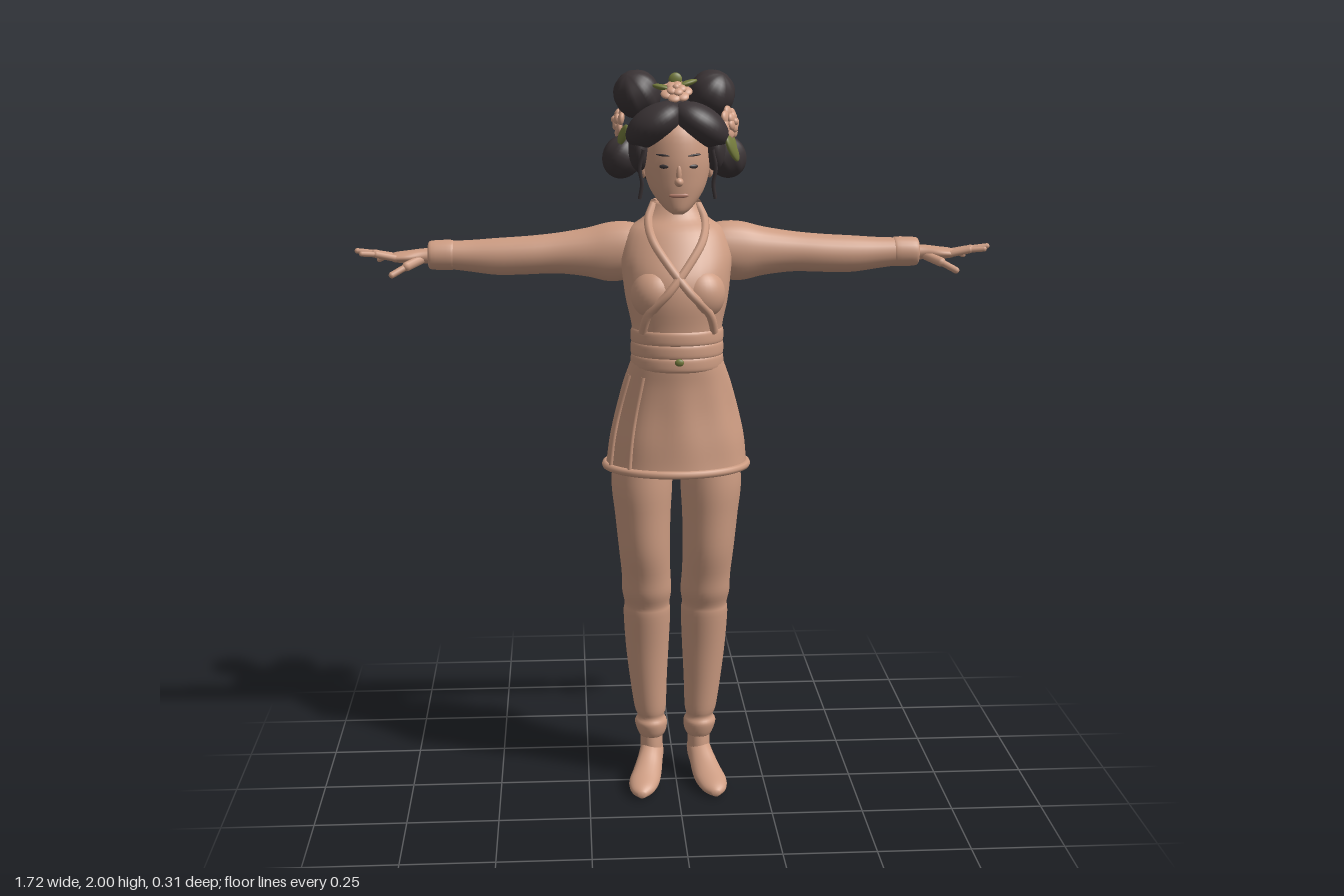
import * as THREE from 'three';

const mat = (name, color, side = THREE.FrontSide) => {
  const m = new THREE.MeshStandardMaterial({ color, side });
  m.name = name;
  return m;
};
const V = (x, y, z) => new THREE.Vector3(x, y, z);

// Smooth interpolation of section rows [t, c1, c2, r1, r2]
function refine(secs, steps = 4) {
  const out = [];
  for (let i = 0; i < secs.length - 1; i++) {
    const p = [secs[Math.max(i - 1, 0)], secs[i], secs[i + 1], secs[Math.min(i + 2, secs.length - 1)]];
    for (let k = 0; k < steps; k++) {
      const u = k / steps;
      out.push(secs[0].map((_, c) => {
        const [a, b, d, e] = p.map(r => r[c]);
        return b + 0.5 * u * (d - a + u * (2 * a - 5 * b + 4 * d - e + u * (3 * (b - d) + e - a)));
      }));
    }
  }
  out.push(secs[secs.length - 1]);
  return out;
}

// Elliptical rings stacked along y; rule(t, angle) can swell the radius
function loft(secs, { seg = 32, open = false, rule = () => 1 } = {}) {
  const rows = refine(secs), pos = [], idx = [], n = rows.length;
  for (const [t, cx, cz, rx, rz] of rows)
    for (let j = 0; j < seg; j++) {
      const a = j / seg * Math.PI * 2, k = rule(t, a);
      pos.push(cx + rx * k * Math.sin(a), t, cz + rz * k * Math.cos(a));
    }
  for (let i = 0; i < n - 1; i++)
    for (let j = 0; j < seg; j++) {
      const a = i * seg + j, b = i * seg + (j + 1) % seg;
      idx.push(a, b, b + seg, a, b + seg, a + seg);
    }
  if (!open) {
    const lo = n * seg, top = (n - 1) * seg;
    for (const r of [rows[0], rows[n - 1]]) pos.push(r[1], r[0], r[2]);
    for (let j = 0; j < seg; j++) {
      const k = (j + 1) % seg;
      idx.push(lo, k, j, lo + 1, top + j, top + k);
    }
  }
  const g = new THREE.BufferGeometry();
  g.setAttribute('position', new THREE.Float32BufferAttribute(pos, 3));
  g.setIndex(idx);
  g.computeVertexNormals();
  return g;
}

// Point lying on a loft at height y and angle a
function onLoft(secs, y, a, lift = 0) {
  let i = 0;
  while (i < secs.length - 2 && secs[i + 1][0] < y) i++;
  const u = (y - secs[i][0]) / (secs[i + 1][0] - secs[i][0]);
  const [, cx, cz, rx, rz] = secs[i].map((v, c) => v + (secs[i + 1][c] - v) * u);
  return V(cx + (rx + lift) * Math.sin(a), y, cz + (rz + lift) * Math.cos(a));
}

const tube = (pts, r, closed = false) =>
  new THREE.TubeGeometry(new THREE.CatmullRomCurve3(pts, closed), pts.length * 6, r, 8, closed);

// Ellipsoid, optionally grooved into locks around its own axis
function blob(c, r, rot = [0, 0, 0], lobes = 0) {
  const g = new THREE.SphereGeometry(1, 32, 20), p = g.attributes.position;
  if (lobes) {
    for (let i = 0; i < p.count; i++) {
      const k = 0.93 + 0.07 * Math.abs(Math.sin(Math.atan2(p.getZ(i), p.getX(i)) * lobes / 2));
      p.setXYZ(i, p.getX(i) * k, p.getY(i), p.getZ(i) * k);
    }
    g.computeVertexNormals();
  }
  return g.scale(...r).rotateX(rot[0]).rotateY(rot[1]).rotateZ(rot[2]).translate(...c);
}

function finger(a, b, r) {
  const d = b.clone().sub(a), g = new THREE.CapsuleGeometry(r, d.length(), 4, 10);
  g.applyQuaternion(new THREE.Quaternion().setFromUnitVectors(V(0, 1, 0), d.normalize()));
  const m = a.clone().add(b).multiplyScalar(0.5);
  return g.translate(m.x, m.y, m.z);
}

function mirrored(geo) {
  const g = geo.clone().scale(-1, 1, 1), ix = g.index;
  for (let i = 0; i < ix.count; i += 3) {
    const b = ix.getX(i + 1);
    ix.setX(i + 1, ix.getX(i + 2));
    ix.setX(i + 2, b);
  }
  return g;
}

export function createModel() {
  const root = new THREE.Group();
  const cloth = mat('tanCloth', 0xcd9c82, THREE.DoubleSide), skin = mat('skin', 0xcd9c82);
  const hair = mat('darkHair', 0x3a3335), petal = mat('petal', 0xd2a086), leaf = mat('leaf', 0x737a3c);
  const lips = mat('lips', 0xb67e6b), under = mat('underShorts', 0x5b5356);
  const add = (name, g, m, parent = root) => {
    const o = new THREE.Mesh(g, m);
    o.name = name;
    parent.add(o);
    return o;
  };
  const pair = (name, g, m) => {
    add(name + 'Left', g, m);
    add(name + 'Right', mirrored(g), m);
  };

  // Tunic: bodice, sash and flared skirt
  const torso = [[1.2, 0, 0.035, 0.12, 0.09], [1.25, 0, 0.04, 0.117, 0.095], [1.33, 0, 0.04, 0.122, 0.1],
    [1.4, 0, 0.033, 0.137, 0.115], [1.46, 0, 0.018, 0.145, 0.122], [1.52, 0, 0, 0.15, 0.11],
    [1.58, 0, -0.018, 0.13, 0.092], [1.615, 0, -0.028, 0.085, 0.066], [1.655, 0, -0.03, 0.053, 0.048]];
  add('bodice', loft(torso), cloth);
  pair('bust', blob([0.06, 1.42, 0.085], [0.066, 0.07, 0.062]), cloth);
  const skirt = [[0.93, 0, 0, 0.195, 0.147], [0.96, 0, 0, 0.191, 0.144], [1.02, 0, 0.003, 0.183, 0.138],
    [1.1, 0, 0.005, 0.165, 0.13], [1.17, 0, 0.02, 0.147, 0.114], [1.22, 0, 0.036, 0.13, 0.102], [1.25, 0, 0.04, 0.12, 0.098]];
  const folds = (y, a) => 1 + 0.018 * Math.sin(9 * a + 1) * Math.max(0, Math.min(1, (1.22 - y) * 8)) * Math.min(1, (y - 0.92) * 8);
  add('skirt', loft(skirt, { seg: 64, open: true, rule: folds }), cloth);
  const hem = Array.from({ length: 24 }, (_, i) => onLoft(skirt, 0.938, i / 12 * Math.PI));
  add('skirtHem', tube(hem, 0.011, true), cloth);
  for (const a of [-1.2, -0.75])
    add('skirtFlapEdge', tube([1.2, 1.1, 1.02, 0.94].map(y => onLoft(skirt, y, a, 0.001)), 0.006), cloth);
  [1.235, 1.27, 1.305].forEach(y => add('sashFold', loft([[y - 0.021, 0, 0.039, 0.12, 0.098],
    [y - 0.012, 0, 0.039, 0.125, 0.104], [y + 0.012, 0, 0.039, 0.125, 0.104], [y + 0.021, 0, 0.039, 0.121, 0.099]]), cloth));
  add('sashOrnament', blob([0, 1.245, 0.143], [0.012, 0.01, 0.006]), leaf);

  // Crossed lapels and standing collar
  for (const s of [1, -1])
    add('lapel', tube([[1.645, 1.4], [1.61, 0.95], [1.56, 0.5], [1.5, 0.18], [1.43, -0.2], [1.37, -0.65], [1.32, -0.9]]
      .map(([y, a]) => onLoft(torso, y, a * s, y > 1.35 && y < 1.5 ? 0.004 : 0)), 0.012), cloth);
  add('collarBack', tube([1.4, 2, 2.6, Math.PI, 3.68, 4.28, 4.88].map(a => onLoft(torso, 1.648, a)), 0.013), cloth);

  // Sleeves and cuffs, lofted upright then laid along x
  const along = rows => loft(rows, { seg: 24 }).rotateZ(-Math.PI / 2);
  pair('sleeve', along([[0.08, -1.53, -0.035, 0.06, 0.06], [0.13, -1.522, -0.038, 0.078, 0.066],
    [0.18, -1.518, -0.04, 0.08, 0.065], [0.24, -1.517, -0.042, 0.066, 0.06], [0.32, -1.515, -0.043, 0.055, 0.054],
    [0.4, -1.51, -0.043, 0.052, 0.052], [0.48, -1.507, -0.044, 0.05, 0.048], [0.55, -1.509, -0.045, 0.043, 0.042],
    [0.61, -1.512, -0.045, 0.038, 0.037]]), cloth);
  pair('cuff', along([[0.595, -1.512, -0.045, 0.036, 0.035], [0.605, -1.512, -0.045, 0.041, 0.039],
    [0.655, -1.512, -0.045, 0.039, 0.037], [0.665, -1.512, -0.045, 0.032, 0.03]]), cloth);

  // Hands with spread fingers
  pair('palm', along([[0.64, -1.51, -0.045, 0.022, 0.024], [0.68, -1.51, -0.045, 0.02, 0.026],
    [0.72, -1.508, -0.044, 0.017, 0.036], [0.755, -1.507, -0.046, 0.013, 0.037], [0.765, -1.507, -0.046, 0.006, 0.03]]), skin);
  [[0.808, 1.495, -0.094, -0.074], [0.845, 1.514, -0.07, -0.056], [0.86, 1.526, -0.036, -0.037], [0.845, 1.522, -0.002, -0.018]]
    .forEach(([x, y, z, z0]) => {
      const mid = V((x + 0.755) / 2, (y + 1.507) / 2 + 0.004, (z + z0) / 2);
      pair('fingerBase', finger(V(0.75, 1.507, z0), mid, 0.0095), skin);
      pair('fingerTip', finger(mid, V(x - 0.007, y, z), 0.0075), skin);
    });
  pair('thumbBase', finger(V(0.685, 1.502, -0.03), V(0.72, 1.488, 0.002), 0.013), skin);
  pair('thumbTip', finger(V(0.72, 1.488, 0.002), V(0.758, 1.468, 0.022), 0.009), skin);

  // Trousers with gathered ankles
  pair('trouserLeg', loft([[0.125, 0.068, -0.045, 0.035, 0.042], [0.14, 0.068, -0.045, 0.042, 0.049],
    [0.165, 0.07, -0.043, 0.046, 0.052], [0.183, 0.07, -0.043, 0.038, 0.045], [0.21, 0.072, -0.043, 0.045, 0.051],
    [0.3, 0.077, -0.042, 0.053, 0.059], [0.4, 0.08, -0.037, 0.061, 0.066], [0.5, 0.081, -0.027, 0.066, 0.073],
    [0.53, 0.081, -0.021, 0.063, 0.07], [0.57, 0.082, -0.012, 0.069, 0.077], [0.62, 0.084, -0.003, 0.068, 0.078],
    [0.7, 0.089, 0.008, 0.071, 0.087], [0.8, 0.093, 0.01, 0.077, 0.094], [0.9, 0.095, 0.01, 0.084, 0.1],
    [1.04, 0.09, 0.005, 0.075, 0.095]]), cloth);
  add('underShorts', blob([0, 1.02, 0], [0.15, 0.1, 0.1]), under);

  // Heeled shoes
  pair('ankle', loft([[0.06, 0.068, -0.045, 0.032, 0.045], [0.1, 0.068, -0.045, 0.032, 0.044], [0.15, 0.068, -0.045, 0.031, 0.038]]), skin);
  pair('shoe', loft([[-0.094, 0.065, -0.072, 0.012, 0.018], [-0.082, 0.066, -0.073, 0.028, 0.034], [-0.04, 0.068, -0.073, 0.034, 0.04],
    [0, 0.075, -0.06, 0.036, 0.038], [0.04, 0.085, -0.039, 0.041, 0.034], [0.08, 0.095, -0.027, 0.043, 0.026],
    [0.12, 0.101, -0.019, 0.032, 0.018], [0.143, 0.104, -0.014, 0.01, 0.009]], { seg: 24 }).rotateX(Math.PI / 2), cloth);
  pair('heel', new THREE.CylinderGeometry(0.027, 0.017, 0.06, 20).translate(0.066, 0.03, -0.07), cloth);

  // Neck, head and face
  add('neck', loft([[1.55, 0, -0.02, 0.055, 0.05], [1.64, 0, -0.015, 0.042, 0.044], [1.72, 0, -0.005, 0.042, 0.05]]), skin);
  add('head', loft([[1.632, 0, 0.085, 0.014, 0.016], [1.645, 0, 0.073, 0.034, 0.038], [1.68, 0, 0.05, 0.063, 0.066],
    [1.72, 0, 0.035, 0.081, 0.085], [1.78, 0, 0.028, 0.09, 0.094], [1.85, 0, 0.02, 0.082, 0.088], [1.9, 0, 0.01, 0.05, 0.05]]), skin);
  add('nose', blob([0, 1.718, 0.12], [0.012, 0.012, 0.014]), skin);
  add('noseBridge', blob([0, 1.74, 0.117], [0.008, 0.026, 0.009]), skin);
  add('mouth', blob([0, 1.683, 0.113], [0.026, 0.007, 0.005]), lips);
  pair('ear', blob([0.088, 1.745, 0.02], [0.01, 0.024, 0.016]), skin);
  pair('eye', blob([0.037, 1.758, 0.111], [0.014, 0.006, 0.005], [0, 0.35, 0]), hair);
  pair('brow', blob([0.04, 1.787, 0.11], [0.02, 0.003, 0.004], [0, 0.35, 0.1]), hair);

  // Hair: crown, parted front, loose strands and four buns
  add('hairCrown', blob([0, 1.815, -0.025], [0.122, 0.108, 0.112], [0.2, 0, 0], 14), hair);
  pair('hairFront', blob([0.06, 1.862, 0.058], [0.084, 0.05, 0.068], [0, 0.25, -0.55]), hair);
  pair('hairSide', blob([0.1, 1.8, 0.035], [0.028, 0.06, 0.05]), hair);
  pair('strand', tube([V(0.09, 1.8, 0.085), V(0.1, 1.75, 0.075), V(0.094, 1.71, 0.068), V(0.1, 1.67, 0.062)], 0.005), hair);
  pair('upperBun', blob([0.1, 1.935, -0.075], [0.064, 0.064, 0.07], [0.4, 0, -0.5], 8), hair);
  pair('lowerBun', blob([0.14, 1.77, -0.075], [0.055, 0.06, 0.06], [0, 0, 0.5], 8), hair);
  pair('napeRoll', blob([0.055, 1.75, -0.075], [0.06, 0.045, 0.05], [0, 0, 0.3], 6), hair);

  // Flowers with leaves tucked into the hair
  const flower = (at, dir, size) => {
    const g = new THREE.Group();
    g.name = 'flower';
    g.position.set(...at);
    g.quaternion.setFromUnitVectors(V(0, 0, 1), V(...dir).normalize());
    for (const [n, d, z, r] of [[7, 0.62, 0, 0.42], [5, 0.32, 0.22, 0.34]])
      for (let i = 0; i < n; i++) {
        const a = i / n * Math.PI * 2;
        add('petal', blob([Math.cos(a) * d * size, Math.sin(a) * d * size, z * size], [r * size, r * size, 0.2 * size]), petal, g);
      }
    add('flowerCentre', blob([0, 0, 0.32 * size], [0.24 * size, 0.24 * size, 0.24 * size]), petal, g);
    root.add(g);
  };
  flower([0.14, 1.866, 0.03], [1, 0.2, 0.6], 0.043);
  flower([-0.145, 1.865, -0.09], [-1, 0.2, 0], 0.045);
  flower([0, 1.945, -0.005], [0, 0.8, 0.6], 0.042);
  for (const [c, r, rot] of [[[0.145, 1.8, 0.05], [0.01, 0.042, 0.024], [0.5, -0.4, 0.3]],
    [[0.15, 1.81, 0.01], [0.009, 0.036, 0.02], [-0.4, -0.2, 0.3]], [[-0.14, 1.83, -0.03], [0.009, 0.035, 0.02], [0.7, 0.3, -0.2]],
    [[0.03, 1.965, -0.02], [0.03, 0.008, 0.016], [0, 0.3, 0.3]], [[-0.035, 1.955, -0.015], [0.028, 0.008, 0.016], [0, -0.3, -0.2]],
    [[0, 1.975, -0.03], [0.018, 0.018, 0.008], [0, 0, 0]]])
    add('leaf', blob(c, r, rot), leaf);
  return root;
}
